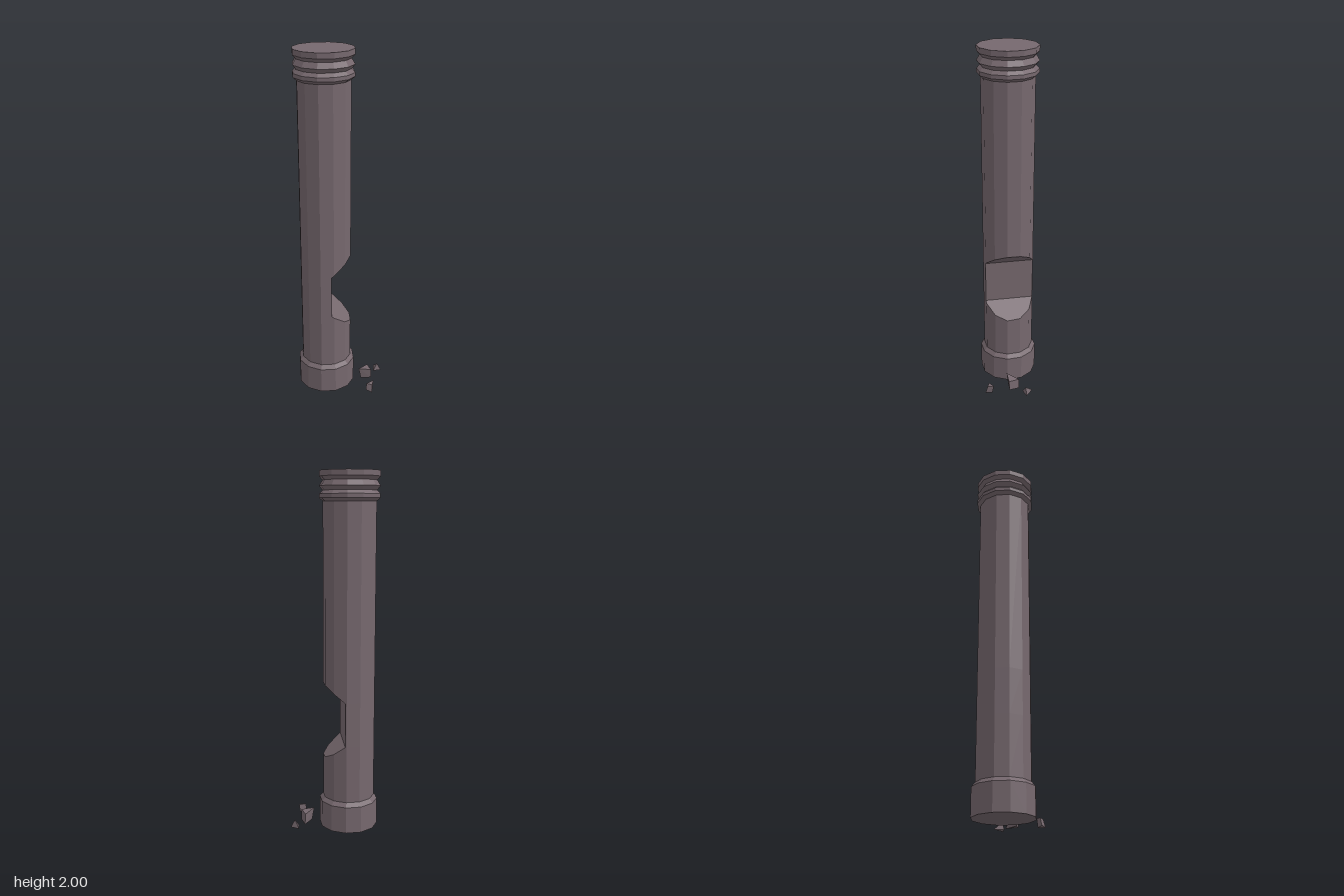
import * as THREE from 'three';
import { ConvexGeometry } from 'three/addons/geometries/ConvexGeometry.js';

const SIDES = 12;
const CX = -0.086, CZ = -0.05; // column axis
const SHAFT_R = 0.146;

// Column section with the two points where the notch plane crosses it.
// s is the distance outside the notch plane.
function notchedSection(nx, nz, d) {
  const pts = [];
  for (let i = 0; i < SIDES; i++) {
    const a = (i / SIDES) * Math.PI * 2;
    const x = Math.sin(a) * SHAFT_R, z = Math.cos(a) * SHAFT_R;
    pts.push({ x, z, s: x * nx + z * nz - d });
  }
  const ring = [];
  pts.forEach((p, i) => {
    const q = pts[(i + 1) % SIDES];
    ring.push(p);
    if (p.s * q.s < 0) {
      const t = p.s / (p.s - q.s);
      ring.push({ x: p.x + (q.x - p.x) * t, z: p.z + (q.z - p.z) * t, s: 0 });
    }
  });
  return ring;
}

// Shaft with a wedge-sided notch hacked out of one side
function shaftGeometry(y0, y1, cutLow, cutHigh, slope) {
  const angle = Math.atan2(0.09, 0.26);
  const ring = notchedSection(Math.cos(angle), Math.sin(angle), 0.034);
  const n = ring.length, pos = [];
  const tri = (...v) => v.forEach(p => pos.push(p[0], p[1], p[2]));
  const quad = (a, b, c, d) => { tri(a, b, c); tri(a, c, d); };
  const at = (p, y) => [p.x, y, p.z];
  const low = p => at(p, cutLow - slope * Math.max(0, p.s));
  const high = p => at(p, cutHigh + slope * Math.max(0, p.s));

  for (let i = 0; i < n; i++) {
    const p = ring[i], q = ring[(i + 1) % n];
    quad(at(p, y0), at(q, y0), low(q), low(p));
    quad(high(p), high(q), at(q, y1), at(p, y1));
    if (p.s <= 0 && q.s <= 0) quad(low(p), low(q), high(q), high(p));
  }

  // Removed side, walked from one crossing point to the other
  const start = ring.findIndex((p, i) => p.s === 0 && ring[(i + 1) % n].s > 0);
  const out = [];
  for (let i = 0; i < n; i++) {
    const p = ring[(start + i) % n];
    if (p.s < 0) break;
    out.push(p);
  }
  const a = out[0], b = out[out.length - 1];
  quad(low(a), low(b), high(b), high(a));
  for (let i = 1; i < out.length - 1; i++) {
    tri(low(a), low(out[i]), low(out[i + 1]));
    tri(high(a), high(out[i + 1]), high(out[i]));
  }

  const g = new THREE.BufferGeometry();
  g.setAttribute('position', new THREE.Float32BufferAttribute(pos, 3));
  g.computeVertexNormals();
  return g;
}

// Faceted turned part from [radius, height] pairs, bottom to top
function turned(profile) {
  const g = new THREE.LatheGeometry(profile.map(p => new THREE.Vector2(...p)), SIDES).toNonIndexed();
  g.computeVertexNormals();
  return g;
}

export function createModel() {
  const model = new THREE.Group();
  model.name = 'brokenColumn';
  const stone = new THREE.MeshStandardMaterial({ color: 0x76686e });
  stone.name = 'stone';

  const add = (parent, name, geometry) => {
    const mesh = new THREE.Mesh(geometry, stone);
    mesh.name = name;
    parent.add(mesh);
    return mesh;
  };

  const column = new THREE.Group();
  column.name = 'column';
  column.position.set(CX, 0, CZ);
  model.add(column);

  add(column, 'base', turned([[0, 0], [0.166, 0], [0.166, 0.152], [SHAFT_R, 0.175]]));
  add(column, 'shaft', shaftGeometry(0.175, 1.84, 0.5, 0.75, 0.8));
  add(column, 'capital', turned([
    [SHAFT_R, 1.84], [0.166, 1.857], [0.166, 1.878], [0.148, 1.897],
    [0.166, 1.92], [0.148, 1.95], [0.166, 1.97], [0.166, 2], [0, 2],
  ]));

  // Fallen chips, each the hull of a few corners
  const chips = {
    largeChip: [
      [0.085, 0.075, 0.055], [0.158, 0.062, 0.012], [0.156, 0.066, 0.078],
      [0.1, 0.004, 0.053], [0.162, 0, 0.012], [0.16, 0.008, 0.076],
    ],
    smallChip: [
      [0.088, 0.05, 0.178], [0.135, 0.055, 0.17], [0.113, 0.047, 0.2],
      [0.08, 0.01, 0.184], [0.125, 0.004, 0.174], [0.108, 0.003, 0.212],
    ],
    pointedChip: [
      [0.2, 0.003, 0.01], [0.25, 0, 0.012], [0.222, 0.006, -0.043], [0.228, 0.046, 0.003],
    ],
  };
  for (const [name, corners] of Object.entries(chips)) {
    add(model, name, new ConvexGeometry(corners.map(c => new THREE.Vector3(...c))));
  }
  return model;
}
